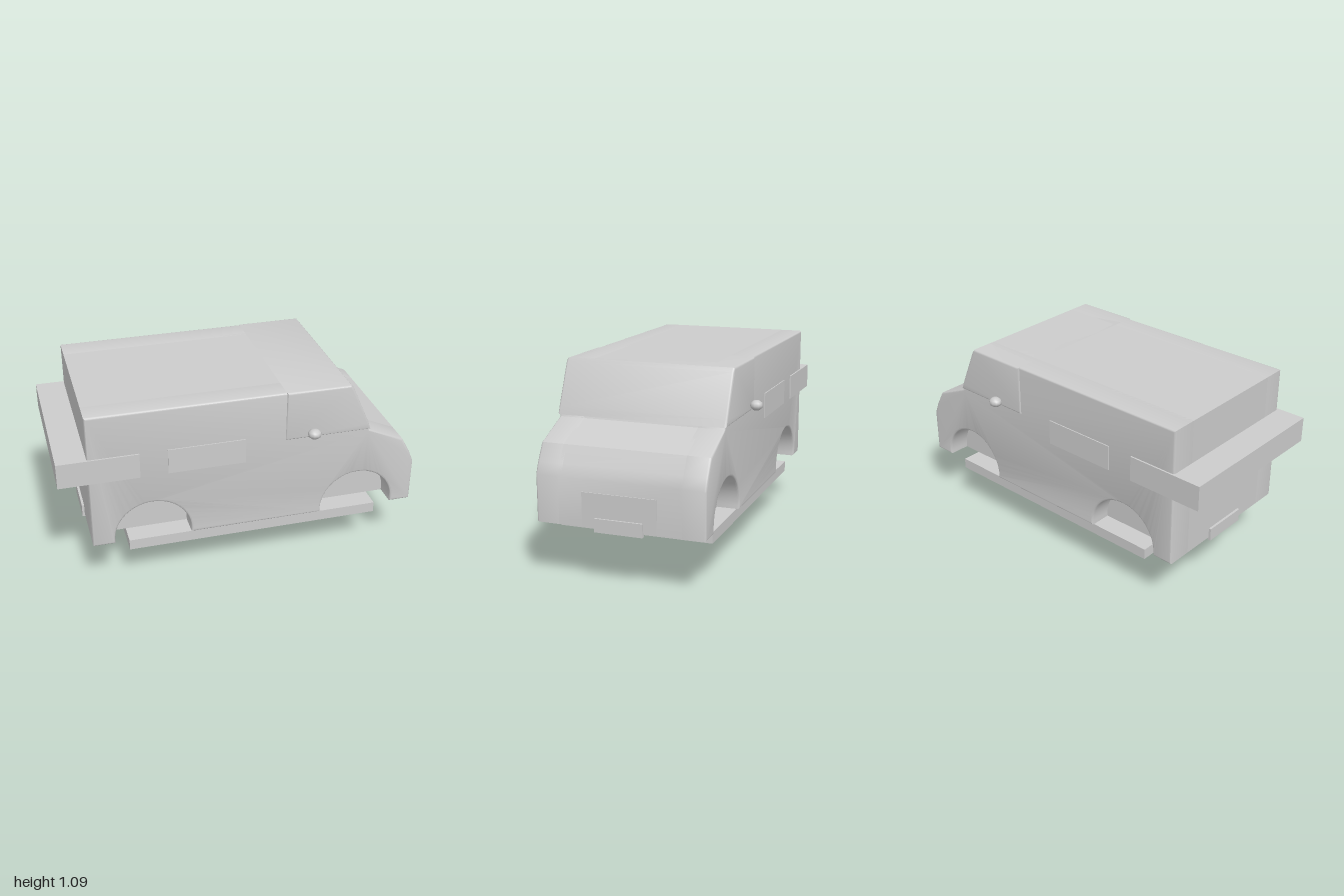
import * as THREE from 'three';
import { toCreasedNormals } from 'three/addons/utils/BufferGeometryUtils.js';

const grey = new THREE.MeshStandardMaterial({ color: 0xcccccc });

export function createModel() {
  const van = new THREE.Group();

  function add(name, geometry, x = 0, y = 0, z = 0) {
    const mesh = new THREE.Mesh(geometry, grey);
    mesh.name = name;
    mesh.position.set(x, y, z);
    van.add(mesh);
    return mesh;
  }

  // Box given by its limits in x and y and its half width in z
  function addBox(name, x0, x1, y0, y1, halfZ) {
    add(name, new THREE.BoxGeometry(x1 - x0, y1 - y0, halfZ * 2), (x0 + x1) / 2, (y0 + y1) / 2, 0);
  }

  // Side profile extruded from z0 to z1 with rounded edges inside its outline
  function slab(shape, z0, z1, bevel) {
    const geometry = new THREE.ExtrudeGeometry(shape, {
      depth: z1 - z0 - 2 * bevel,
      bevelEnabled: bevel > 0,
      bevelSize: bevel,
      bevelThickness: bevel,
      bevelOffset: -bevel,
      bevelSegments: 3,
      curveSegments: 28,
    });
    geometry.translate(0, 0, z0 + bevel);
    return toCreasedNormals(geometry, 0.6);
  }

  // Van outline seen from the side, with the wheel arches cut out or not
  function bodyProfile(arches) {
    const s = new THREE.Shape();
    s.moveTo(-0.84, 0.31);
    if (arches) {
      for (const cx of [-0.51, 0.65]) {
        s.lineTo(cx - 0.21, 0.31);
        s.lineTo(cx - 0.21, 0.33);
        s.absarc(cx, 0.33, 0.21, Math.PI, 0, true);
        s.lineTo(cx + 0.21, 0.31);
      }
    }
    for (const [x, y] of [[0.98, 0.31], [0.98, 0.56], [0.955, 0.62], [0.905, 0.71], [0.7, 0.8], [0.57, 1.09], [-0.84, 1.09]]) {
      s.lineTo(x, y);
    }
    s.closePath();
    return s;
  }

  // Body: a solid core and two sides with wheel arches
  add('bodyCore', slab(bodyProfile(false), -0.33, 0.33, 0));
  const skin = bodyProfile(true);
  add('leftBodySide', slab(skin, -0.455, -0.3, 0.012)).name = 'bodySideBack';
  add('bodySideFront', slab(skin, 0.3, 0.455, 0.012));

  // Cab glazing, slightly proud of the body
  const cab = new THREE.Shape([
    [0.22, 0.81], [0.704, 0.81], [0.69, 0.85], [0.592, 1.07], [0.575, 1.09], [0.22, 1.09],
  ].map(([x, y]) => new THREE.Vector2(x, y)));
  add('cabWindows', slab(cab, -0.463, 0.463, 0.012));

  // Wrap-around rear window band and side windows
  addBox('rearWindowBand', -1, -0.57, 0.71, 0.85, 0.464);
  addBox('sideWindows', -0.42, 0, 0.71, 0.85, 0.461);

  // Floor plate, grille and number plates
  addBox('floorPlate', -0.64, 0.78, 0.23, 0.29, 0.42);
  addBox('grille', 0.96, 0.985, 0.32, 0.495, 0.2);
  addBox('frontPlate', 0.975, 0.995, 0.295, 0.367, 0.13);
  addBox('rearPlate', -0.853, -0.835, 0.295, 0.367, 0.13);

  // Side mirrors
  for (const side of [-1, 1]) {
    const mirror = new THREE.SphereGeometry(1, 10, 6);
    mirror.scale(0.037, 0.028, 0.034);
    add(side > 0 ? 'mirrorFront' : 'mirrorBack', mirror, 0.36, 0.86, side * 0.515);
  }

  // Wheel with rounded shoulders and a raised hub
  const tyre = [
    [0, -0.062], [0.085, -0.062], [0.092, -0.055], [0.125, -0.054], [0.143, -0.046], [0.149, -0.03],
    [0.149, 0.03], [0.143, 0.046], [0.125, 0.054], [0.092, 0.055], [0.085, 0.062], [0, 0.062],
  ].map(([r, h]) => new THREE.Vector2(r, h));
  const wheel = new THREE.LatheGeometry(tyre, 40);
  wheel.rotateX(Math.PI / 2);
  add('wheel', toCreasedNormals(wheel, 0.7), 0.07, 0.149, 0).position.y = 0.15;

  // Centre the model and rest it on the ground
  const box = new THREE.Box3().setFromObject(van);
  const centre = box.getCenter(new THREE.Vector3());
  for (const part of van.children) {
    part.position.x -= centre.x;
    part.position.y -= box.min.y;
    part.position.z -= centre.z;
  }
  return van;
}
